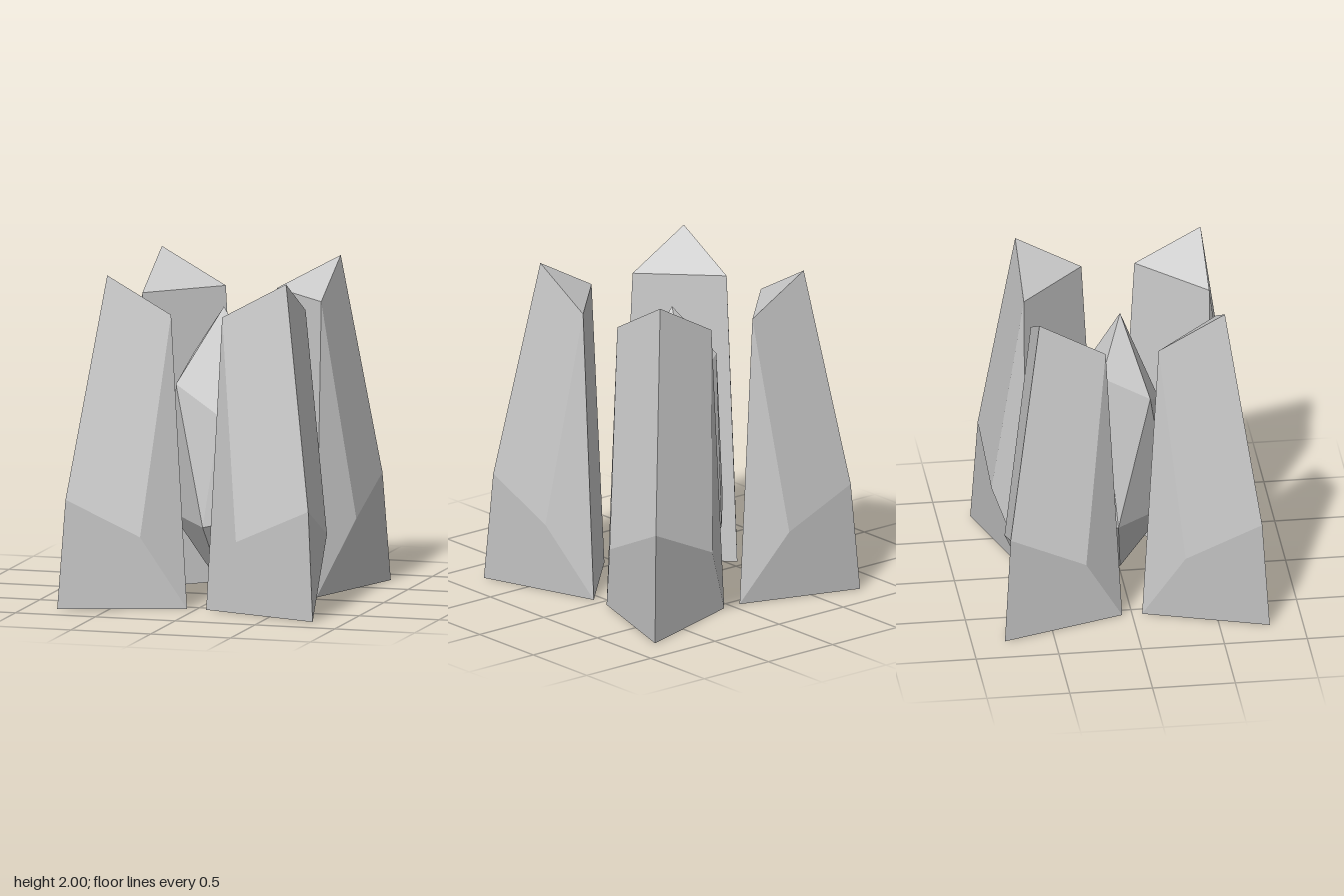
import * as THREE from 'three';

const material = new THREE.MeshStandardMaterial({ color: 0xcccccc });

// Mesh from corner points and polygons; each polygon is a fan with one shared facet normal.
function facetedMesh(name, points, faces, flip = false) {
  const pts = points.map(p => new THREE.Vector3(...p));
  const position = [], normal = [];
  for (const face of faces) {
    const loop = face.map(i => pts[i]);
    if (flip) loop.push(loop.shift()), loop.reverse(), loop.unshift(loop.pop());
    // Keep the fan start on the same corner after reversing
    const start = loop.indexOf(pts[face[0]]);
    const ring = loop.map((_, i) => loop[(i + start) % loop.length]);
    const n = new THREE.Vector3();
    ring.forEach((p, i) => n.add(p.clone().cross(ring[(i + 1) % ring.length])));
    n.normalize();
    for (let i = 1; i < ring.length - 1; i++) {
      for (const p of [ring[0], ring[i], ring[i + 1]]) {
        position.push(p.x, p.y, p.z);
        normal.push(n.x, n.y, n.z);
      }
    }
  }
  const geometry = new THREE.BufferGeometry();
  geometry.setAttribute('position', new THREE.Float32BufferAttribute(position, 3));
  geometry.setAttribute('normal', new THREE.Float32BufferAttribute(normal, 3));
  const mesh = new THREE.Mesh(geometry, material);
  mesh.name = name;
  return mesh;
}

// Corner pillar: triangular foot, bent outer walls, slanted triangular cap
function pillar(name, sx, sz) {
  const points = [
    [0.8, 0, 0.8], [0.06, 0, 0.56], [0.56, 0, 0.06],               // 0-2 foot
    [0.76, 0.66, 0.76], [0.3, 0.45, 0.737], [0.737, 0.45, 0.3],    // 3-5 bend
    [0.56, 2, 0.56], [0.16, 1.78, 0.56], [0.56, 1.78, 0.16],       // 6-8 cap
  ].map(([x, y, z]) => [x * sx, y, z * sz]);
  const faces = [
    [0, 1, 2], [6, 8, 7],             // underside, cap
    [1, 0, 3, 4], [4, 3, 6, 7],       // outer wall facing z
    [0, 2, 5, 3], [3, 5, 8, 6],       // outer wall facing x
    [1, 4, 7], [2, 8, 5],             // side bevels
    [2, 1, 7, 8],                     // inner wall
  ];
  return facetedMesh(name, points, faces, sx * sz < 0);
}

// Central crystal: two staggered rings of five between a top and a bottom tip
function crystal() {
  const upper = [
    [0.09, 1.27, -0.27], [0.32, 1.26, 0.08], [0.05, 1.12, 0.245],
    [-0.255, 1.29, 0.15], [-0.23, 1.44, -0.14],
  ];
  const lower = [
    [0.2, 0.63, -0.12], [0.26, 0.52, 0.23], [-0.045, 0.45, 0.29],
    [-0.35, 0.48, -0.055], [-0.145, 0.4, -0.29],
  ];
  const points = [...upper, ...lower, [0, 1.75, 0], [0, 0.03, 0]];
  const faces = [];
  for (let i = 0; i < 5; i++) {
    const j = (i + 1) % 5;
    faces.push([10, j, i], [i, j, i + 5], [i + 5, j, j + 5], [i + 5, j + 5, 11]);
  }
  return facetedMesh('centralCrystal', points, faces);
}

export function createModel() {
  const group = new THREE.Group();
  group.name = 'crystalPillars';
  for (const sx of [1, -1]) {
    for (const sz of [1, -1]) {
      group.add(pillar((sz > 0 ? 'front' : 'back') + (sx > 0 ? 'Left' : 'Right') + 'Pillar', sx, sz));
    }
  }
  group.add(crystal());
  return group;
}
